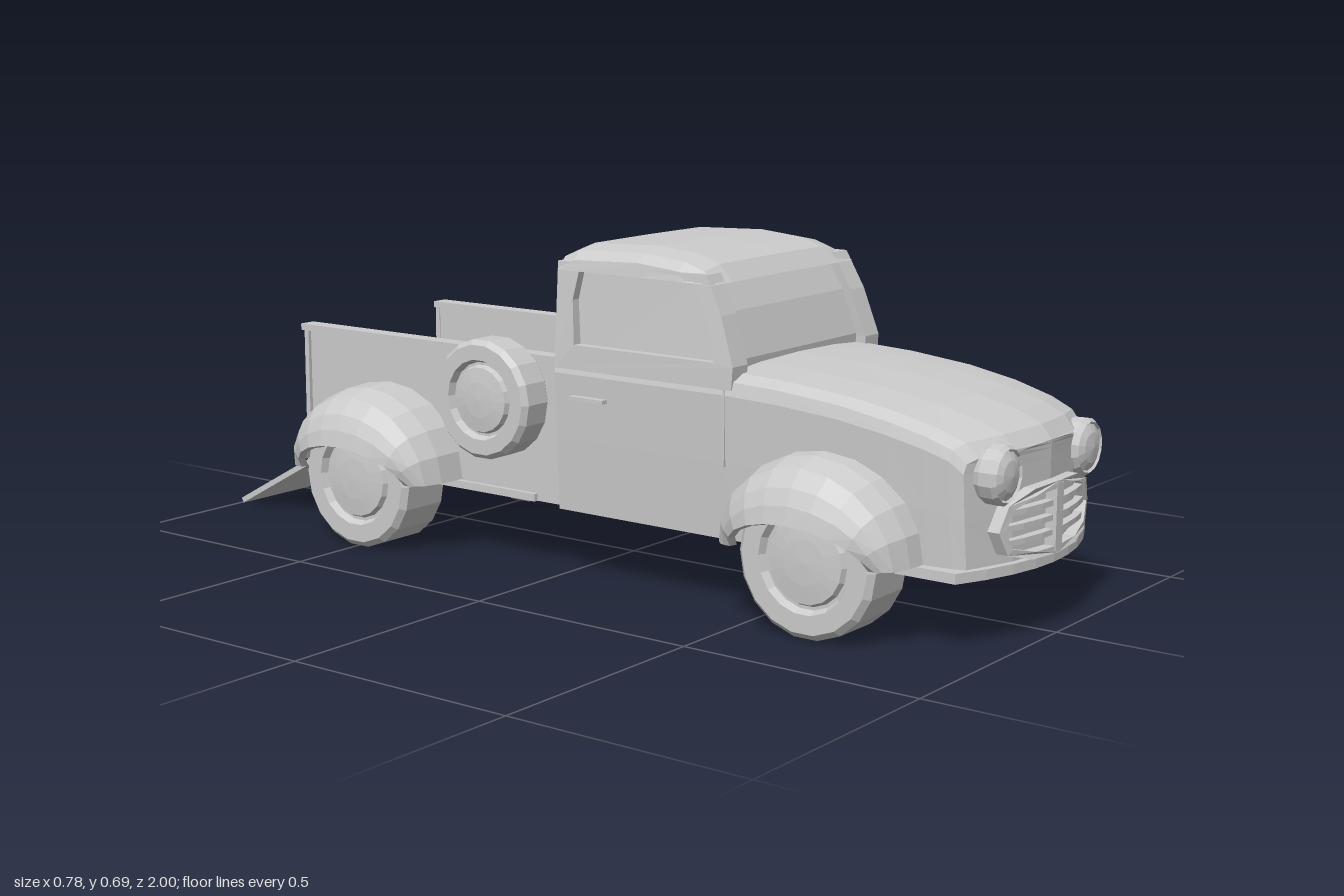
import * as THREE from 'three';

const grey = new THREE.MeshStandardMaterial({ color: 0xcccccc, flatShading: true });
const thin = new THREE.MeshStandardMaterial({ color: 0xcccccc, flatShading: true, side: THREE.DoubleSide });

// Surface through a grid of points; rows[i][j] = [x, y, z]
function gridSurface(rows, flip = false) {
  const n = rows[0].length, index = [];
  for (let i = 0; i < rows.length - 1; i++) {
    for (let j = 0; j < n - 1; j++) {
      const a = i * n + j, b = a + 1, c = b + n, d = a + n;
      if (flip) index.push(a, c, b, a, d, c);
      else index.push(a, b, c, a, c, d);
    }
  }
  const g = new THREE.BufferGeometry();
  g.setAttribute('position', new THREE.Float32BufferAttribute(rows.flat(2), 3));
  g.setIndex(index);
  g.computeVertexNormals();
  return g;
}

// Moves every vertex by a rule
function deform(g, rule) {
  const p = g.attributes.position, v = new THREE.Vector3();
  for (let i = 0; i < p.count; i++) {
    rule(v.fromBufferAttribute(p, i));
    p.setXYZ(i, v.x, v.y, v.z);
  }
  g.computeVertexNormals();
  return g;
}

const bow = (v) => { v.z -= v.x * v.x; };            // curve of the nose in plan
const lean = (y) => 0.08 * Math.max(0, y - 0.48);    // cab sides lean inwards
const outline = (pts) => pts.map(([a, b]) => new THREE.Vector2(a, b));

// Side profile given as [z, y], extruded along x and centred on x = 0
function sideExtrude(profile, width, hole) {
  const shape = new THREE.Shape(outline(profile));
  if (hole) shape.holes.push(new THREE.Path(outline(hole)));
  return new THREE.ExtrudeGeometry(shape, { depth: width, bevelEnabled: false })
    .rotateY(-Math.PI / 2).translate(width / 2, 0, 0);
}

export function createModel() {
  const model = new THREE.Group();
  const add = (name, g, mat = grey, x = 0, y = 0, z = 0) => {
    const m = new THREE.Mesh(g, mat);
    m.name = name;
    m.position.set(x, y, z);
    model.add(m);
    return m;
  };
  const box = (name, w, h, d, x, y, z) => add(name, new THREE.BoxGeometry(w, h, d), grey, x, y, z);

  // Lower cab and hood: one section carried from the cab's back to the nose
  const half = [[0, 0], [0.95, 0], [0.98, 0.45], [1, 0.85], [0.975, 0.93], [0.86, 0.97], [0.5, 0.992], [0, 1]];
  const ring = [...half, ...half.slice(0, -1).reverse().map(([x, y]) => [-x, y])];
  const sections = [ // z, half width, top, bow
    [0, 0, 0.48, 0], [0, 0.262, 0.48, 0], [0.42, 0.264, 0.48, 0], [0.55, 0.262, 0.474, 0.15],
    [0.7, 0.258, 0.46, 0.45], [0.82, 0.254, 0.44, 0.75], [0.91, 0.247, 0.418, 1],
    [0.955, 0.24, 0.398, 1], [0.977, 0.232, 0.372, 1], [0.977, 0.12, 0.372, 1], [0.977, 0, 0.372, 1],
  ];
  add('body', gridSurface(sections.map(([z, w, top, k]) =>
    ring.map(([fx, fy]) => [fx * w, 0.145 + fy * (top - 0.145), z - k * (fx * w) ** 2]))));

  // Glass core of the cab
  const glass = [[0.018, 0.42], [0.41, 0.42], [0.415, 0.49], [0.385, 0.58], [0.345, 0.65], [0.018, 0.65]];
  add('windows', deform(sideExtrude(glass, 0.49), (v) => { v.x -= Math.sign(v.x) * lean(v.y); }));

  // Side frames with the window openings
  const frame = [[0, 0.44], [0.435, 0.44], [0.438, 0.485], [0.405, 0.58], [0.365, 0.655], [0, 0.655]];
  const opening = [[0.05, 0.49], [0.392, 0.49], [0.372, 0.57], [0.335, 0.64], [0.055, 0.64], [0.042, 0.58]];
  for (const s of [1, -1]) {
    const g = sideExtrude(frame, 0.05, opening).translate(s * 0.238, 0, 0);
    add('cabSideFrame', deform(g, (v) => { v.x -= s * lean(v.y); }));
  }

  // Rounded roof
  const roofLine = [[0, 0.64], [0.003, 0.672], [0.04, 0.687], [0.2, 0.693], [0.3, 0.684], [0.348, 0.668], [0.378, 0.635]];
  const roofCols = [[0.252, 0.06], [0.248, 0.028], [0.23, 0.01], [0.18, 0]];
  const roofXs = [...roofCols.map(([x, d]) => [-x, d]), [0, -0.001], ...roofCols.slice().reverse()];
  add('roof', gridSurface(roofXs.map(([x, drop]) =>
    roofLine.map(([z, y]) => [x, Math.max(y - drop, Math.min(y, 0.637)), z]))), thin);
  box('rearWindowSill', 0.5, 0.03, 0.02, 0, 0.48, 0.01);

  // Front apron and grille, bowed like the nose
  add('bumper', deform(new THREE.BoxGeometry(0.51, 0.02, 0.17, 8).translate(0, 0.15, 0.905), bow));
  const corner = [[0.175, 0.225], [0.153, 0.272], [0.085, 0.295], [0, 0.298]];
  const lower = [[0, 0.16], [0.085, 0.162], [0.153, 0.18]];
  const right = [...lower, ...corner];
  const oval = [...right, ...right.slice(1, -1).reverse().map(([x, y]) => [-x, y])];
  const grilleShape = new THREE.Shape(outline(oval));
  grilleShape.holes.push(new THREE.Path(outline(oval.map(([x, y]) => [x * 0.91, 0.228 + (y - 0.228) * 0.8]))));
  add('grilleFrame', deform(new THREE.ExtrudeGeometry(grilleShape, { depth: 0.04, bevelEnabled: false })
    .translate(0, 0, 0.958), bow));
  for (const [y, w] of [[0.2, 0.3], [0.228, 0.32], [0.256, 0.3]]) {
    add('grilleBar', deform(new THREE.BoxGeometry(w, 0.011, 0.03, 6).translate(0, y, 0.977), bow));
  }
  box('grilleCentreBar', 0.026, 0.128, 0.035, 0, 0.229, 0.981);

  // Wheel with a sunk rim and a domed hubcap; s is the side it faces
  function wheel(name, r, w, s, x, y, z) {
    const group = new THREE.Group();
    group.name = name;
    const tyre = [[0, 0], [r * 0.92, 0], [r, 0.012], [r, w - 0.012], [r * 0.92, w],
      [r * 0.67, w], [r * 0.62, w - 0.015], [0, w - 0.015]];
    const cap = [[r * 0.58, w - 0.016], [r * 0.54, w - 0.004], [r * 0.3, w], [0, w + 0.002]];
    for (const [part, pts] of [['tyre', tyre], ['hubcap', cap]]) {
      const m = new THREE.Mesh(new THREE.LatheGeometry(outline(pts), 18), grey);
      m.name = part;
      group.add(m);
    }
    group.rotation.z = -s * Math.PI / 2;
    group.position.set(s * x, y, z);
    model.add(group);
  }

  // Domed fender: arches shrink from the body outwards to the wheel opening
  function fender(name, s, inner, zc) {
    const arches = [ // x, z radius, height, x drawn in at the ends
      [inner, 0.207, 0.188, 0], [0.29, 0.204, 0.184, 0.005], [0.34, 0.192, 0.168, 0.015],
      [0.37, 0.178, 0.137, 0.03], [0.384, 0.166, 0.105, 0.038], [0.391, 0.152, 0.07, 0.045],
      [0.375, 0.147, 0.066, 0.045],
    ];
    const rows = arches.map(([x, rz, h, tuck]) => Array.from({ length: 11 }, (_, j) => {
      const a = Math.PI * j / 10;
      return [s * (x - tuck * (1 - Math.sin(a)) ** 1.2), 0.163 + h * Math.sin(a), zc + rz * Math.cos(a)];
    }));
    add(name, gridSurface(rows, s > 0), thin);
  }

  const lamp = outline([[0.04, -0.06], [0.056, -0.02], [0.057, 0.005], [0.05, 0.014], [0.046, 0.01], [0.03, 0.018], [0, 0.022]]);
  for (const s of [1, -1]) {
    wheel('frontWheel', 0.15, 0.132, s, 0.202, 0.153, 0.65);
    wheel('rearWheel', 0.15, 0.132, s, 0.202, 0.153, -0.5);
    wheel('spareWheel', 0.125, 0.083, s, 0.225, 0.36, -0.165);
    fender('frontFender', s, 0.245, 0.645);
    fender('rearFender', s, 0.22, -0.495);
    add('headlight', new THREE.LatheGeometry(lamp, 14).rotateX(Math.PI / 2), grey, s * 0.16, 0.33, 0.963);

    // Door handle and shut line
    box('doorHandle', 0.018, 0.008, 0.085, s * 0.267, 0.384, 0.09);
    box('doorEdge', 0.006, 0.17, 0.004, s * 0.261, 0.375, 0.418);

    // Bed side with rail, sill and end post
    box('bedSide', 0.022, 0.3, 0.745, s * 0.212, 0.295, -0.3725);
    box('bedRail', 0.038, 0.014, 0.75, s * 0.217, 0.448, -0.375);
    box('bedSill', 0.012, 0.016, 0.66, s * 0.227, 0.153, -0.41);
    box('bedPost', 0.032, 0.296, 0.012, s * 0.215, 0.293, -0.739);
  }

  // Bed floor and lowered tailgate
  box('bedFloor', 0.42, 0.02, 0.745, 0, 0.155, -0.3725);
  const gate = box('tailgate', 0.4, 0.012, 0.288, 0, 0.08, -0.87);
  gate.rotation.x = -Math.atan2(0.138, 0.253);

  return model;
}
